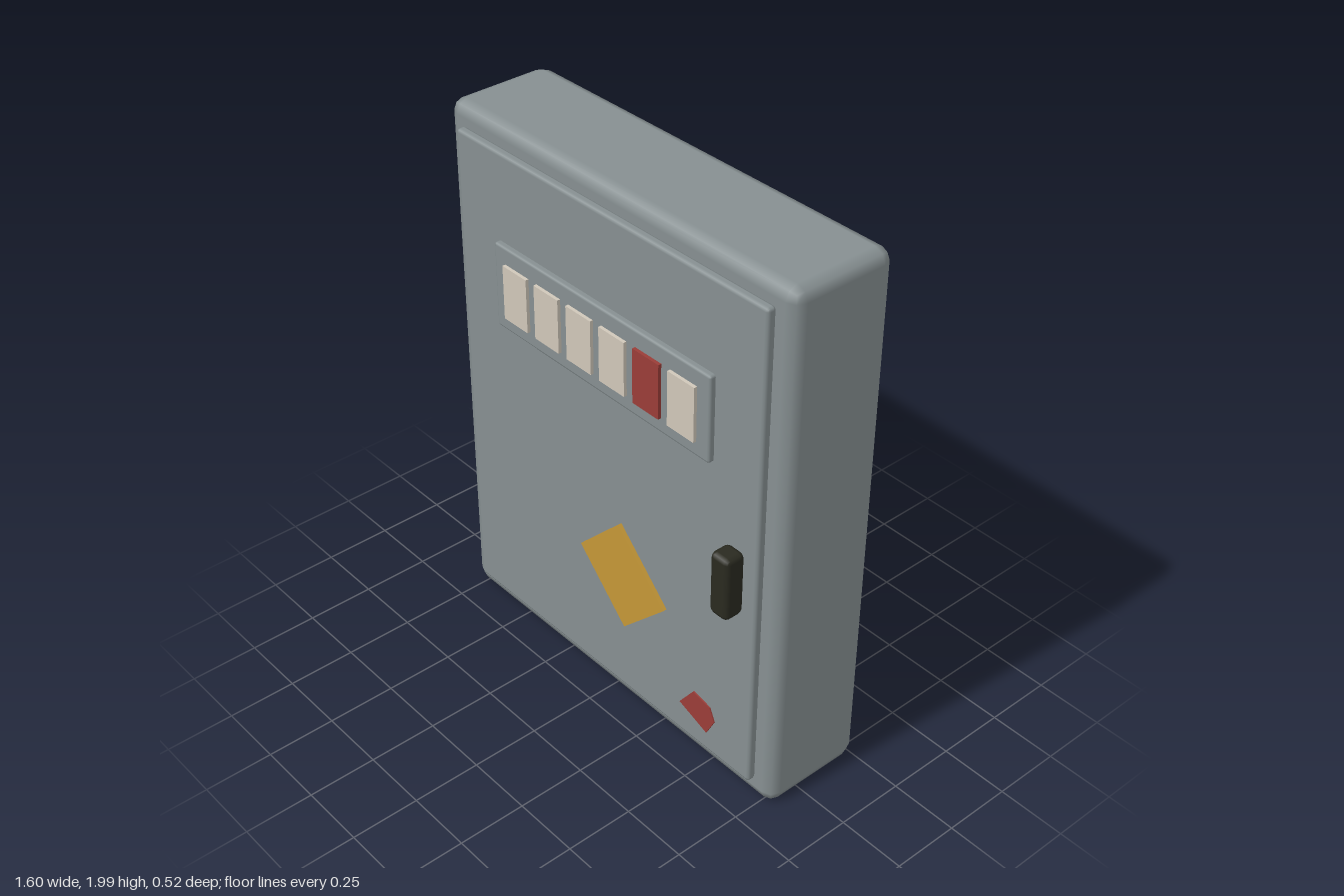
import * as THREE from 'three';
import { RoundedBoxGeometry } from 'three/addons/geometries/RoundedBoxGeometry.js';

function material(name, color) {
  const m = new THREE.MeshStandardMaterial({ color });
  m.name = name;
  return m;
}

export function createModel() {
  const model = new THREE.Group();
  model.name = 'electricalCabinet';

  const steel = material('grey steel', 0x868f91);
  const cream = material('cream label', 0xd0c7b9);
  const red = material('red', 0x9a3d38);
  const yellow = material('warning yellow', 0xc49737);
  const black = material('black plastic', 0x2a2a20);

  function add(name, geometry, mat, x = 0, y = 0, z = 0) {
    const mesh = new THREE.Mesh(geometry, mat);
    mesh.name = name;
    mesh.position.set(x, y, z);
    model.add(mesh);
    return mesh;
  }

  // Box with softened edges, given its extent from back z0 to front z1
  function softBox(name, mat, w, h, z0, z1, radius, x, y) {
    const geometry = new RoundedBoxGeometry(w, h, z1 - z0, 1, radius);
    return add(name, geometry, mat, x, y, (z0 + z1) / 2);
  }

  // Flat polygon plate standing on the door
  function plate(name, mat, points, z0, z1) {
    const shape = new THREE.Shape(points.map(([x, y]) => new THREE.Vector2(x, y)));
    const geometry = new THREE.ExtrudeGeometry(shape, { depth: z1 - z0, bevelEnabled: false });
    return add(name, geometry, mat, 0, 0, z0);
  }

  // Housing, door and raised label panel
  softBox('housing', steel, 1.595, 1.995, -0.258, 0.138, 0.045, 0, 1);
  softBox('door', steel, 1.44, 1.84, 0.134, 0.169, 0.012, 0, 1.005);
  softBox('labelPanel', steel, 1.032, 0.316, 0.16, 0.19, 0.009, 0, 1.447);

  // Row of labels, the fifth one red
  for (let i = 0; i < 6; i++) {
    add('label' + (i + 1), new THREE.BoxGeometry(0.12, 0.2, 0.014),
      i === 4 ? red : cream, (i - 2.5) * 0.16, 1.444, 0.195);
  }

  // Door handle
  softBox('handle', black, 0.08, 0.24, 0.18, 0.2575, 0.018, 0.641, 0.923);

  // Warning sign and torn sticker
  plate('warningSign', yellow,
    [[-0.112, 0.6], [0.112, 0.373], [0.31, 0.57], [0.084, 0.796]], 0.165, 0.184);
  plate('sticker', red,
    [[0.385, 0.216], [0.518, 0.167], [0.554, 0.238], [0.531, 0.288], [0.451, 0.306]], 0.166, 0.174);

  return model;
}
